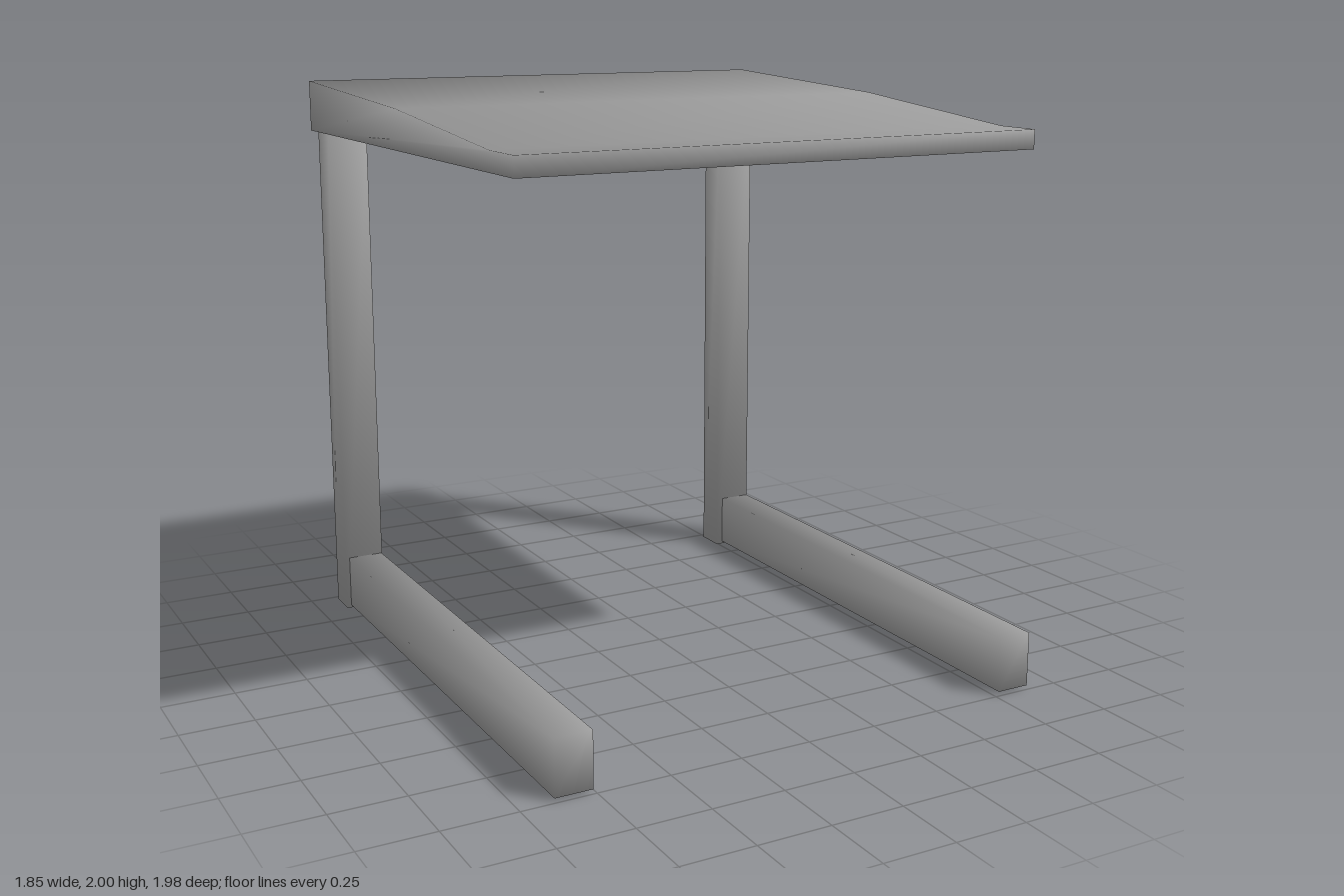
import * as THREE from 'three';
import { mergeVertices } from 'three/addons/utils/BufferGeometryUtils.js';

const material = new THREE.MeshStandardMaterial({ color: 0x9c9c9c });

// Smooth shading: each corner takes the average direction of the faces meeting there
function smoothMesh(name, source) {
  source.deleteAttribute('uv');
  const geometry = mergeVertices(source, 1e-4);
  const { position, normal } = geometry.attributes;
  const sums = new Map();
  const key = (i) => [position.getX(i), position.getY(i), position.getZ(i)].map((v) => v.toFixed(3)).join();
  for (let i = 0; i < position.count; i++) {
    const sum = sums.get(key(i)) ?? new THREE.Vector3();
    sums.set(key(i), sum.add(new THREE.Vector3().fromBufferAttribute(normal, i)));
  }
  for (let i = 0; i < position.count; i++) {
    const n = sums.get(key(i)).clone().normalize();
    normal.setXYZ(i, n.x, n.y, n.z);
  }
  const mesh = new THREE.Mesh(geometry, material);
  mesh.name = name;
  return mesh;
}

// Box given by its lower and upper bounds on each axis
function block(name, [x0, x1], [y0, y1], [z0, z1]) {
  const mesh = smoothMesh(name, new THREE.BoxGeometry(x1 - x0, y1 - y0, z1 - z0));
  mesh.position.set((x0 + x1) / 2, (y0 + y1) / 2, (z0 + z1) / 2);
  return mesh;
}

// Sloping table top: side profile (z, y) extruded across the width
function tableTop() {
  const profile = [
    [0.86, 1.82], [0.86, 1.885], [0.69, 1.885], [-0.08, 1.955], [-0.99, 2.0], [-0.99, 1.82],
  ];
  const shape = new THREE.Shape(profile.map(([z, y]) => new THREE.Vector2(-z, y)));
  const width = 1.845;
  const geometry = new THREE.ExtrudeGeometry(shape, { depth: width, bevelEnabled: false });
  geometry.translate(0, 0, -width / 2);
  geometry.rotateY(Math.PI / 2);
  return smoothMesh('tableTop', geometry);
}

export function createModel() {
  const model = new THREE.Group();
  model.name = 'table';
  model.add(tableTop());

  // One upright post at the back and one long foot on each side
  const sides = [
    { side: 'left', post: [0.745, 0.89], foot: [0.77, 0.89] },
    { side: 'right', post: [-0.9, -0.755], foot: [-0.885, -0.757] },
  ];
  for (const { side, post, foot } of sides) {
    model.add(block(side + 'Post', post, [0, 1.82], [-0.975, -0.86]));
    model.add(block(side + 'Foot', foot, [0.01, 0.2], [-0.86, 0.99]));
  }
  return model;
}
